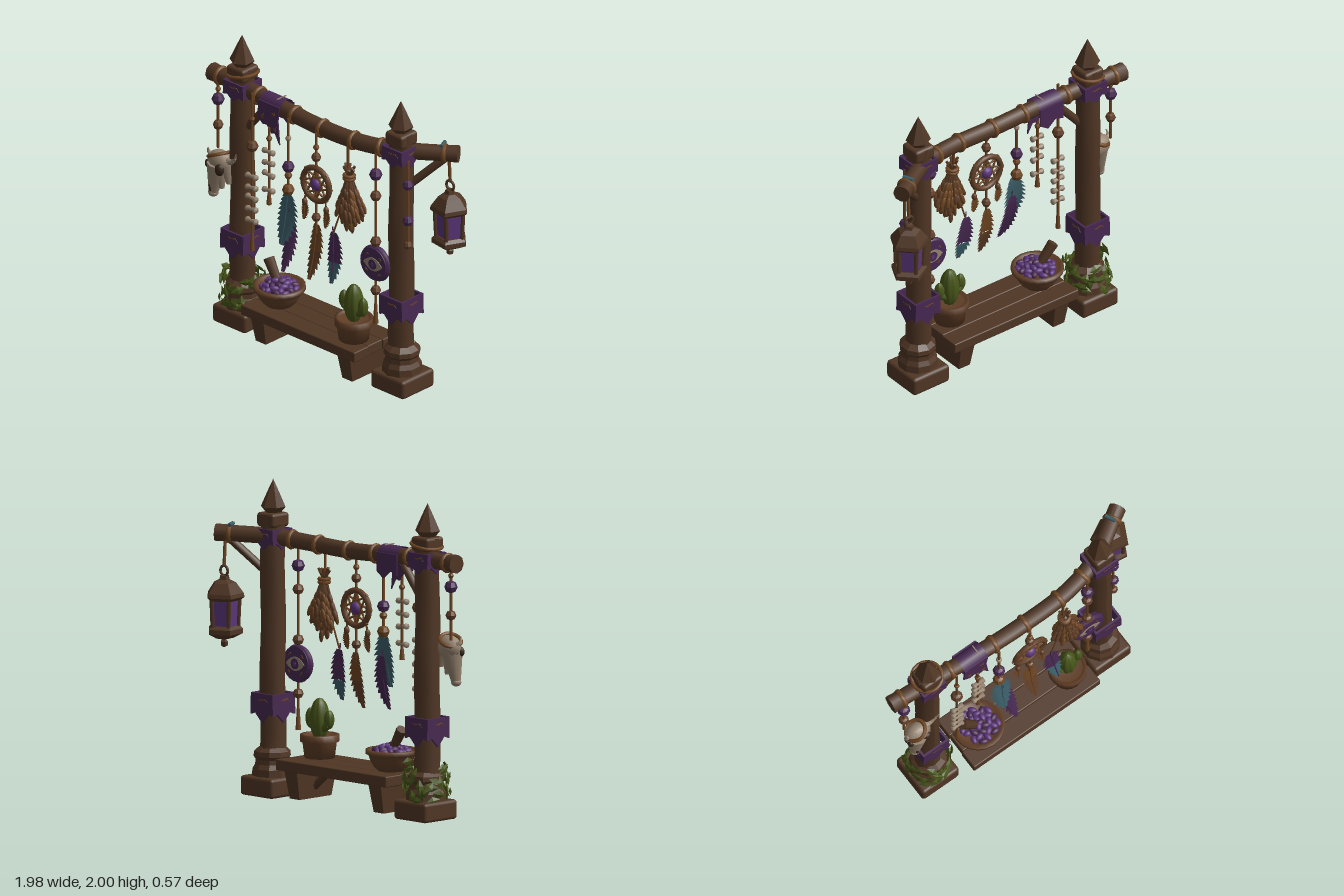
import * as THREE from 'three';
import { RoundedBoxGeometry } from 'three/addons/geometries/RoundedBoxGeometry.js';

const mat = (name, color, side = THREE.FrontSide) => new THREE.MeshStandardMaterial({ name, color, side });
const V = (x, y, z) => new THREE.Vector3(x, y, z);

export function createModel() {
  const model = new THREE.Group();
  model.name = 'charmStand';
  const D = THREE.DoubleSide;
  const wood = mat('wood', 0x503624), dark = mat('dark wood', 0x38261a), rope = mat('tan rope', 0x704723, D);
  const clay = mat('clay', 0x613f27, D), bone = mat('bone', 0x968470), purple = mat('purple cloth', 0x482952, D);
  const violet = mat('violet glass', 0x5b357a), teal = mat('teal feather', 0x3d606a, D), green = mat('leaf green', 0x48561a, D);

  let seed = 7;
  const rnd = () => (seed = (seed * 16807) % 2147483647) / 2147483647;
  const flat = (g) => {
    const f = g.index ? g.toNonIndexed() : g;
    f.computeVertexNormals();
    return f;
  };
  const add = (name, geo, m, x = 0, y = 0, z = 0, parent = model) => {
    const mesh = new THREE.Mesh(geo, m);
    mesh.name = name;
    mesh.position.set(x, y, z);
    parent.add(mesh);
    return mesh;
  };
  const group = (name, x, y, z, parent = model) => {
    const g = new THREE.Group();
    g.name = name;
    g.position.set(x, y, z);
    parent.add(g);
    return g;
  };
  // Tapered rod from a to b
  const rod = (name, a, b, r0, r1, m, sides = 7, parent = model) => {
    const d = b.clone().sub(a);
    const mesh = add(name, new THREE.CylinderGeometry(r1, r0, d.length(), sides), m, 0, 0, 0, parent);
    mesh.position.copy(a).add(b).multiplyScalar(0.5);
    mesh.quaternion.setFromUnitVectors(V(0, 1, 0), d.normalize());
    return mesh;
  };
  const ball = (name, m, x, y, z, rx, ry = rx, rz = rx, parent = model) => {
    const b = add(name, new THREE.SphereGeometry(1, 10, 8), m, x, y, z, parent);
    b.scale.set(rx, ry, rz);
    return b;
  };
  const shape = (pts) => new THREE.Shape(pts.map(([x, y]) => new THREE.Vector2(x, y)));
  const plate = (pts, depth) => new THREE.ExtrudeGeometry(shape(pts), { depth, bevelEnabled: false });
  const lathe = (pts, sides) => new THREE.LatheGeometry(pts.map(([x, y]) => new THREE.Vector2(x, y)), sides);

  // Four cloth flaps with pointed hems and frayed stitching around a post
  const band = (x, z, top, h, w) => {
    const g = group('clothBand', x, top, z);
    for (let i = 0; i < 4; i++) {
      const f = group('clothSide', 0, 0, 0, g);
      f.rotation.y = i * Math.PI / 2;
      const p = [[-w, 0], [-w * 1.04, -h * 0.8], [-w * 0.6, -h * 0.74], [0, -h * 1.08], [w * 0.55, -h * 0.72], [w * 1.04, -h * 0.8], [w, 0]];
      add('clothFlap', plate(p, 0.015), purple, 0, 0, w - 0.012, f);
      add('stitch', plate([[-0.03, -0.01], [-0.01, -0.022], [0.03, -0.012], [0.055, -0.03], [0.03, -0.004], [-0.008, -0.013]], 0.003), rope, 0, -h * 0.15, w + 0.002, f);
    }
  };

  // Posts with stepped base, weathered shaft and pointed finial
  for (const [x, z, foot] of [[-0.717, 0.053, 0.01], [0.634, 0.035, 0.006]]) {
    add('postBase', new RoundedBoxGeometry(0.285, 0.125, 0.29, 2, 0.022), wood, x + foot, 0.0625, z - foot * 0.5);
    add('postCollar', flat(lathe([[0.13, 0.11], [0.125, 0.17], [0.108, 0.2], [0.105, 0.23], [0.118, 0.25], [0.115, 0.28], [0.08, 0.31]], 10)), wood, x + foot, 0, z);
    const shaft = new THREE.CylinderGeometry(0.077, 0.083, 1.5, 10, 14);
    const p = shaft.attributes.position;
    for (let i = 0; i < p.count; i++) {
      const a = Math.atan2(p.getZ(i), p.getX(i));
      const s = 1 + 0.05 * Math.sin(p.getY(i) * 9 + a * 3 + x);
      p.setX(i, p.getX(i) * s);
      p.setZ(i, p.getZ(i) * s);
    }
    shaft.computeVertexNormals();
    add('postShaft', shaft, wood, x, 1.03, z);
    add('postNeck', new RoundedBoxGeometry(0.15, 0.09, 0.15, 2, 0.02), wood, x, 1.745, z);
    add('finial', flat(lathe([[0, 1.785], [0.05, 1.79], [0.08, 1.825], [0.04, 1.915], [0, 2]], 6)), wood, x, 0, z + 0.003);
    band(x, z, 0.65, 0.17, 0.096);
    band(x, z, 1.69, 0.12, 0.084);
  }
  add('postRope', new THREE.TorusGeometry(0.098, 0.011, 6, 20), rope, -0.715, 1.735, 0.05).rotation.set(Math.PI / 2, 0.18, 0);

  // Bowed crossbeam with cut ends and rope wraps
  const beamPath = new THREE.CatmullRomCurve3([V(-0.98, 1.645, 0.04), V(-0.72, 1.642, 0.055), V(-0.4, 1.63, 0.08), V(0, 1.612, 0.09), V(0.35, 1.622, 0.08), V(0.6, 1.64, 0.02), V(0.92, 1.652, -0.17)]);
  add('beam', new THREE.TubeGeometry(beamPath, 40, 0.053, 10), wood);
  rod('beamEnd', V(-0.99, 1.645, 0.04), V(-0.9, 1.645, 0.045), 0.06, 0.055, wood, 9);
  rod('beamEnd', V(0.85, 1.65, -0.125), V(0.93, 1.652, -0.175), 0.053, 0.056, wood, 9);
  const wrap = (x) => {
    let best = 0;
    for (let t = 0; t <= 1; t += 0.005) if (Math.abs(beamPath.getPoint(t).x - x) < Math.abs(beamPath.getPoint(best).x - x)) best = t;
    const w = add('beamWrap', new THREE.TorusGeometry(0.054, 0.011, 6, 16).scale(1, 1, 1.5), rope);
    w.position.copy(beamPath.getPoint(best));
    w.quaternion.setFromUnitVectors(V(0, 0, 1), beamPath.getTangent(best));
  };
  [-0.91, -0.55, -0.23, 0.01, 0.275, 0.485, 0.85].forEach(wrap);
  rod('tealThread', V(0.825, 1.707, -0.16), V(0.855, 1.709, -0.095), 0.013, 0.013, teal, 6);
  rod('brace', V(-0.67, 1.37, 0.06), V(-0.49, 1.58, 0.075), 0.027, 0.027, wood);
  rod('brace', V(0.66, 1.4, 0.02), V(0.85, 1.61, -0.12), 0.027, 0.027, wood);

  // Cloth draped over the beam
  add('drapeTop', new THREE.CylinderGeometry(0.065, 0.065, 0.18, 16, 1, true).rotateZ(Math.PI / 2), purple, -0.4, 1.63, 0.08);
  add('drapeFront', plate([[-0.09, 0.02], [-0.1, -0.1], [-0.05, -0.14], [-0.02, -0.13], [0.02, -0.18], [0.05, -0.17], [0.09, -0.24], [0.075, -0.08], [0.09, 0.02]], 0.01), purple, -0.4, 1.64, 0.138);
  add('drapeBack', plate([[-0.09, 0.02], [-0.09, -0.11], [-0.03, -0.09], [0.03, -0.14], [0.09, -0.1], [0.09, 0.02]], 0.01), purple, -0.4, 1.63, 0.008);
  for (const [x, y] of [[-0.46, 1.56], [-0.36, 1.6], [-0.35, 1.5]]) add('drapeStitch', plate([[-0.015, 0], [0.01, -0.015], [0.015, 0.02], [0, 0.005]], 0.003), rope, x, y, 0.148);
  add('drapeThread', new THREE.BoxGeometry(0.007, 0.006, 0.08), bone, -0.355, 1.695, 0.08);

  // Bench with trestle legs and diagonal struts
  for (let i = 0; i < 3; i++) add('benchPlank', new RoundedBoxGeometry(0.98 - (i % 2) * 0.012, 0.07, 0.132, 2, 0.008), wood, -0.028, 0.227, -0.048 + i * 0.131);
  for (const [x, s] of [[-0.4, 1], [0.345, -1]]) {
    const leg = new THREE.CylinderGeometry(0.078, 0.062, 0.18, 4).rotateY(Math.PI / 4).scale(1, 1, 3.2);
    add('benchLeg', flat(leg), wood, x, 0.105, 0.08);
    rod('benchStrut', V(x + s * 0.03, 0.08, 0.08), V(x + s * 0.17, 0.2, 0.08), 0.024, 0.024, wood, 6);
  }

  // Mortar bowl with berries and pestle
  add('bowl', lathe([[0, 0.26], [0.085, 0.26], [0.115, 0.29], [0.138, 0.33], [0.148, 0.365], [0.167, 0.37], [0.167, 0.395], [0.14, 0.395], [0.12, 0.365], [0, 0.35]], 20), clay, -0.355, 0, 0.1);
  for (let i = 0; i < 30; i++) {
    const a = i * 2.4, r = 0.12 * Math.sqrt(i / 30);
    const b = ball('berry', i % 3 ? violet : purple, -0.35 + r * Math.cos(a), 0.422 - r * 0.4 + rnd() * 0.012, 0.105 + r * Math.sin(a), 0.032, 0.02, 0.02);
    b.rotation.y = a * 3;
  }
  rod('pestle', V(-0.36, 0.39, 0.1), V(-0.465, 0.535, 0.08), 0.026, 0.036, wood, 8);

  // Potted cactus
  add('pot', lathe([[0, 0.26], [0.095, 0.26], [0.108, 0.36], [0.123, 0.365], [0.123, 0.41], [0.1, 0.41], [0.095, 0.39], [0, 0.39]], 18), clay, 0.315, 0, 0.13);
  const cactus = group('cactus', 0.315, 0.39, 0.13);
  const ribbed = (x, y, z, r, h) => {
    const g = new THREE.SphereGeometry(1, 24, 10);
    const p = g.attributes.position;
    for (let i = 0; i < p.count; i++) {
      const s = 1 + 0.09 * Math.cos(8 * Math.atan2(p.getZ(i), p.getX(i)));
      p.setXYZ(i, p.getX(i) * s * r, p.getY(i) * h, p.getZ(i) * s * r);
    }
    g.computeVertexNormals();
    add('cactusLobe', g, green, x, y, z, cactus);
  };
  ribbed(0, 0.115, 0, 0.058, 0.135);
  ribbed(-0.085, 0.12, 0, 0.03, 0.06);
  ribbed(0.08, 0.115, 0, 0.03, 0.065);
  for (const s of [-1, 1]) rod('cactusArm', V(s * 0.02, 0.05, 0), V(s * 0.083, 0.09, 0), 0.028, 0.028, green, 8, cactus);

  // Ivy clusters around the left base
  const leafGeo = flat(new THREE.OctahedronGeometry(1).scale(0.027, 0.05, 0.01));
  for (let i = 0; i < 54; i++) {
    const a = i * 2.4, r = 0.128 + rnd() * 0.025;
    const leaf = add('ivyLeaf', leafGeo, green, -0.71 + r * Math.cos(a), 0.13 + rnd() * 0.22, 0.05 + r * Math.sin(a));
    leaf.rotation.set(rnd() - 0.7, Math.PI / 2 - a, rnd() * 4 - 2, 'YXZ');
  }

  // Hanging cords; beads are [y, radius, material]
  const cord = (x, z, y0, y1, beads = []) => {
    rod('cord', V(x, y1, z), V(x, y0, z), 0.009, 0.009, rope, 6);
    for (const [y, r, m] of beads) add('bead', flat(new THREE.SphereGeometry(r, 8, 4)), m, x, y, z);
  };
  cord(-0.91, 0.07, 1.62, 1.15, [[1.49, 0.042, purple], [1.31, 0.034, clay], [1.56, 0.018, rope]]);
  cord(-0.55, 0.14, 1.68, 0.59, [[1.31, 0.04, clay], [1.5, 0.018, rope]]);
  cord(-0.395, 0.15, 1.5, 0.97, [[1.42, 0.02, rope]]);
  cord(-0.23, 0.15, 1.62, 1.08, [[1.28, 0.04, purple], [1.22, 0.025, rope], [1.48, 0.02, bone], [1.12, 0.04, rope]]);
  cord(0.01, 0.15, 1.6, 0.9, [[1.43, 0.032, clay], [1.5, 0.02, rope], [1.01, 0.03, clay]]);
  cord(0.275, 0.14, 1.62, 1.42);
  cord(0.485, 0.11, 1.64, 0.5, [[1.46, 0.042, purple], [1.31, 0.036, clay], [0.99, 0.036, clay], [0.65, 0.034, clay]]);
  cord(0.72, 0.065, 1.62, 1.0, [[1.45, 0.036, purple], [1.2, 0.036, purple], [1.03, 0.03, clay]]);
  rod('tassel', V(0.485, 0.42, 0.11), V(0.485, 0.58, 0.11), 0.018, 0.008, rope);
  rod('cordEnd', V(-0.55, 0.58, 0.14), V(-0.55, 0.7, 0.14), 0.016, 0.01, rope);
  rod('cordEnd', V(-0.395, 0.96, 0.15), V(-0.395, 1.04, 0.15), 0.018, 0.01, rope);

  // Threaded bones
  const boneGeo = lathe([[0, -0.046], [0.018, -0.044], [0.02, -0.03], [0.014, -0.02], [0.014, 0.02], [0.02, 0.03], [0.018, 0.044], [0, 0.046]], 8).rotateZ(Math.PI / 2);
  const bones = (x, z, ys) => ys.forEach((y, i) => { add('threadedBone', boneGeo, bone, x, y, z).rotation.z = 0.12 * Math.sin(i * 2.3); });
  bones(-0.55, 0.145, [1.1, 1.02, 0.95, 0.87, 0.79]);
  bones(-0.395, 0.155, [1.33, 1.25, 1.17, 1.06]);

  // Feather sections between fractions t0 and t1, with notched barbs and a forward curl
  const feather = (x, y, z, len, w, tilt, curl, parts, quill = rope) => {
    const g = group('feather', x, y, z);
    g.rotation.z = tilt;
    const n = 10, half = (t) => w * Math.pow(Math.sin(Math.PI * Math.min(1, 0.1 + t * 0.9)), 0.65);
    for (const [t0, t1, m] of parts) {
      const a = Math.round(t0 * n), b = Math.round(t1 * n), edge = [];
      for (let i = a; i < b; i++) {
        edge.push([half(i / n) * 0.64 + 0.003, -len * i / n]);
        edge.push([half((i + 0.7) / n) + 0.003, -len * Math.min(1, (i + 1.15) / n)]);
      }
      edge.push([0.004, -len * b / n]);
      const geo = new THREE.ShapeGeometry(shape([...edge, ...edge.map(([u, v]) => [-u, v]).reverse()]));
      const p = geo.attributes.position;
      for (let i = 0; i < p.count; i++) p.setZ(i, curl * (p.getY(i) / len) ** 2 - Math.abs(p.getX(i)) * 0.25);
      geo.computeVertexNormals();
      add('featherVane', geo, m, 0, 0, 0, g);
    }
    const spine = new THREE.QuadraticBezierCurve3(V(0, 0.04, 0), V(0, -len * 0.5, 0), V(0, -len, curl));
    add('featherQuill', new THREE.TubeGeometry(spine, 8, 0.004, 5), quill, 0, 0, 0, g);
  };
  feather(-0.22, 1.1, 0.17, 0.34, 0.085, -0.03, 0.05, [[0, 1, teal]], teal);
  feather(-0.205, 0.96, 0.165, 0.355, 0.06, 0.09, 0.1, [[0, 1, purple]], purple);
  feather(0.01, 0.96, 0.15, 0.36, 0.058, 0, 0.07, [[0, 0.5, rope], [0.5, 1, clay]]);
  feather(0.165, 0.96, 0.16, 0.33, 0.066, 0.08, 0.05, [[0, 0.6, purple], [0.6, 1, teal]], purple);
  rod('featherCord', V(0.165, 0.95, 0.16), V(0.22, 1.12, 0.15), 0.006, 0.006, rope, 5);
  for (const x of [-0.085, 0.1]) {
    feather(x, 1.09, 0.155, 0.12, 0.03, 0, 0.01, [[0, 1, rope]]);
    rod('featherCord', V(x, 1.08, 0.155), V(x * 0.9, 1.16, 0.15), 0.006, 0.006, rope, 5);
    ball('featherBead', clay, x, 1.09, 0.155, 0.018, 0.026);
  }

  // Woven hoop with a star web
  const hoop = group('wovenHoop', 0.01, 1.24, 0.15);
  add('hoopRing', new THREE.TorusGeometry(0.112, 0.019, 8, 28), clay, 0, 0, 0, hoop);
  const at = (k, r) => V(r * Math.cos(k * Math.PI / 4), r * Math.sin(k * Math.PI / 4), 0);
  for (let k = 0; k < 8; k++) {
    rod('webStrand', at(k, 0.108), at(k + 3, 0.108), 0.007, 0.007, rope, 5, hoop);
    rod('hoopBinding', at(k, 0.09), at(k, 0.134), 0.011, 0.011, rope, 6, hoop);
  }
  ball('hoopGem', violet, 0, 0, 0, 0.042, 0.042, 0.034, hoop);

  // Dried herb bundle, leaves in three tiers
  const herbs = group('herbBundle', 0.285, 1.39, 0.14);
  for (let i = 0; i < 42; i++) {
    const a = i * 2.4, s = Math.sqrt((i + 1) / 42), len = 0.4 - 0.16 * s - rnd() * 0.06;
    const tip = V(0.1 * s * Math.cos(a) + 0.015, -len, 0.065 * s * Math.sin(a) + 0.01);
    rod('herbStem', V(0.015 * Math.cos(a), 0, 0.015 * Math.sin(a)), tip, 0.007, 0.005, clay, 4, herbs);
    for (const t of [0.55, 0.8, 1]) {
      const leaf = ball('herbLeaf', i % 2 ? rope : clay, tip.x * t * 1.05, tip.y * t, tip.z * t * 1.05, 0.016, 0.042, 0.012, herbs);
      leaf.rotation.z = 0.5 * s * Math.cos(a);
    }
    if (i < 10) rod('herbStalk', V(0, 0, 0), V(0.04 * Math.cos(a), 0.05 + rnd() * 0.03, 0.03 * Math.sin(a)), 0.009, 0.009, clay, 5, herbs);
  }
  for (const y of [-0.015, 0.005]) add('herbTie', new THREE.TorusGeometry(0.032, 0.012, 6, 14).rotateX(Math.PI / 2), rope, 0, y, 0, herbs);

  // Eye amulet, painted on both faces
  const amulet = group('eyeAmulet', 0.485, 0.84, 0.11);
  add('amuletDisc', new THREE.CylinderGeometry(0.11, 0.11, 0.05, 24).rotateX(Math.PI / 2), purple, 0, 0, 0, amulet);
  add('amuletRim', new THREE.TorusGeometry(0.1, 0.022, 8, 24), purple, 0, 0, 0, amulet);
  const almond = new THREE.Shape();
  almond.moveTo(-0.08, 0);
  almond.quadraticCurveTo(0, 0.09, 0.08, 0);
  almond.quadraticCurveTo(0, -0.09, -0.08, 0);
  for (const s of [0, Math.PI]) {
    const face = group('amuletFace', 0, 0, 0, amulet);
    face.rotation.y = s;
    add('eyeWhite', new THREE.ExtrudeGeometry(almond, { depth: 0.005, bevelEnabled: false }), bone, 0, 0, 0.024, face);
    add('eyeIris', new THREE.CylinderGeometry(0.034, 0.034, 0.006, 16).rotateX(Math.PI / 2), purple, 0, 0, 0.03, face);
    add('eyePupil', new THREE.CylinderGeometry(0.014, 0.014, 0.006, 12).rotateX(Math.PI / 2), violet, 0, 0, 0.032, face);
    for (const a of [0.7, 2.3, 3.9, 5.4]) add('goldFleck', new THREE.BoxGeometry(0.026, 0.009, 0.004), rope, 0.078 * Math.cos(a), 0.078 * Math.sin(a), 0.025, face).rotation.z = a + 1.57;
  }

  // Animal skull, turned slightly with its snout down to one side
  const skull = group('skull', -0.835, 1.04, 0.12);
  ball('cranium', bone, -0.01, 0.055, 0, 0.09, 0.078, 0.065, skull);
  rod('snout', V(-0.045, -0.165, 0.025), V(-0.02, 0.04, 0.01), 0.03, 0.072, bone, 9, skull);
  rod('cheek', V(0.07, -0.075, 0), V(0.045, 0.05, 0), 0.02, 0.042, bone, 7, skull);
  rod('jaw', V(0.015, -0.12, 0.01), V(0.01, 0.02, 0.01), 0.018, 0.04, bone, 7, skull);
  ball('muzzleTip', bone, -0.045, -0.165, 0.025, 0.034, 0.027, 0.034, skull);
  ball('eyeSocket', dark, 0.03, 0.025, 0.05, 0.034, 0.042, 0.026, skull);
  ball('eyeSocket', dark, -0.082, 0.03, 0.035, 0.02, 0.03, 0.02, skull);
  ball('noseHole', dark, -0.045, -0.12, 0.055, 0.012, 0.026, 0.01, skull);
  for (const s of [-1, 1]) {
    const horn = new THREE.QuadraticBezierCurve3(V(s * 0.05, 0.08, 0), V(s * 0.12, 0.07, 0), V(s > 0 ? 0.145 : -0.095, s > 0 ? 0.16 : 0.13, 0.02));
    for (let i = 0; i < 5; i++) rod('horn', horn.getPoint(i / 5), horn.getPoint((i + 1) / 5), 0.026 - i * 0.0045, 0.0215 - i * 0.0045, bone, 7, skull);
  }
  add('skullRope', new THREE.TorusGeometry(0.068, 0.013, 6, 18), rope, -0.02, 0.1, 0, skull).rotation.set(1.35, 0.45, 0);

  // Five-sided lantern on a hook
  const lamp = group('lantern', 0.865, 0, -0.165);
  const five = (name, pts, m) => { add(name, flat(lathe(pts, 5)), m, 0, 0, 0, lamp).rotation.y = 1.74; };
  five('lanternBase', [[0, 0.93], [0.022, 0.94], [0.025, 0.965], [0.014, 0.98], [0.06, 0.99], [0.118, 1.02], [0.118, 1.05], [0.095, 1.07], [0, 1.07]], wood);
  five('lanternGlass', [[0.084, 1.06], [0.092, 1.25]], violet);
  five('lanternRoof', [[0, 1.23], [0.105, 1.23], [0.128, 1.25], [0.122, 1.275], [0.075, 1.34], [0.035, 1.36], [0.03, 1.385], [0, 1.39]], wood);
  for (let k = 0; k < 5; k++) {
    const a = 1.74 + k * Math.PI * 0.4;
    rod('lanternBar', V(0.088 * Math.sin(a), 1.05, 0.088 * Math.cos(a)), V(0.097 * Math.sin(a), 1.25, 0.097 * Math.cos(a)), 0.014, 0.014, wood, 5, lamp);
  }
  add('lanternRing', new THREE.TorusGeometry(0.032, 0.009, 6, 16), wood, 0, 1.415, 0, lamp);
  rod('lanternCord', V(0, 1.44, 0), V(0, 1.62, 0.01), 0.011, 0.011, rope, 6, lamp);
  return model;
}
